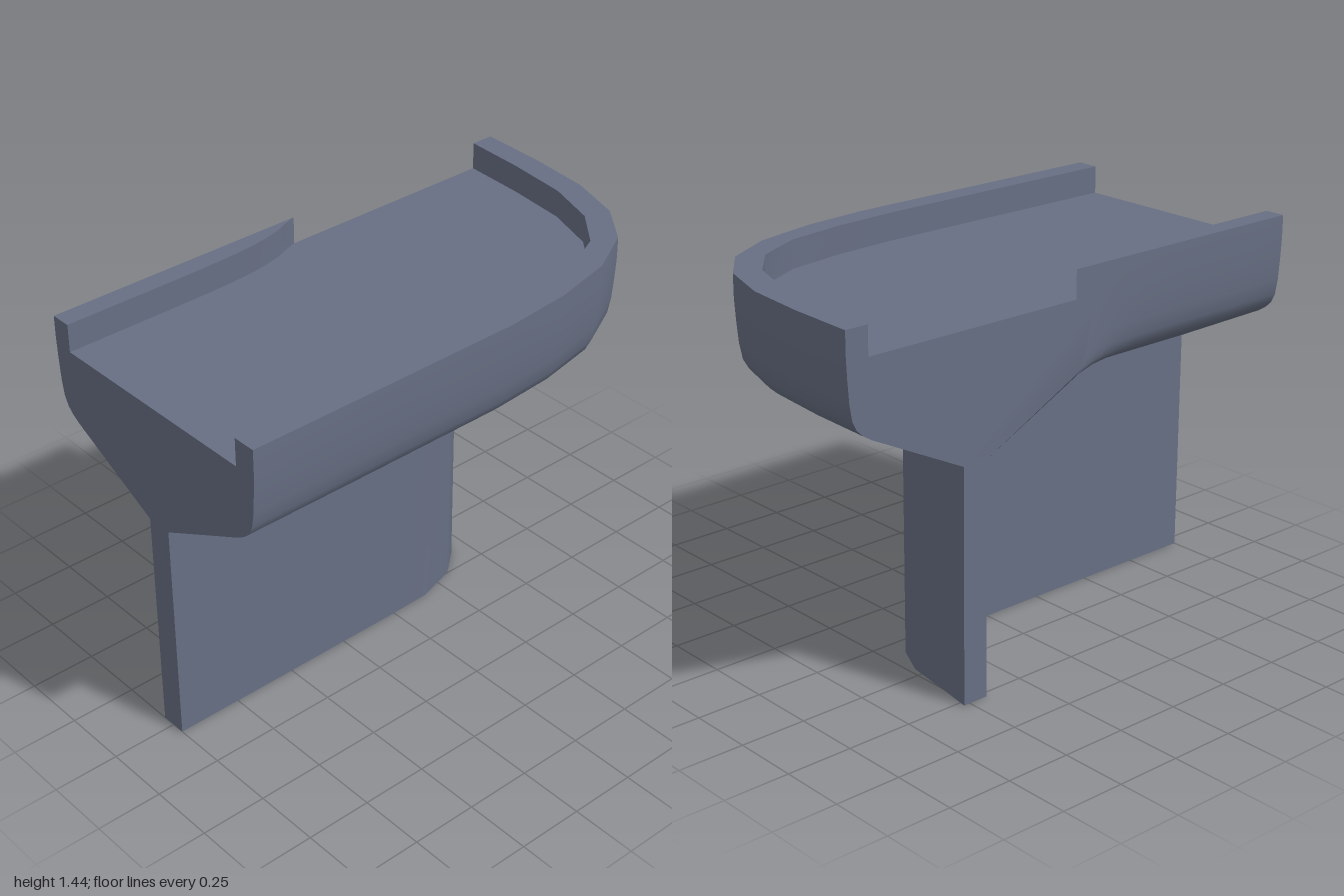
import * as THREE from 'three';
import { toCreasedNormals } from 'three/addons/utils/BufferGeometryUtils.js';

const HALF = 0.525;

// Cross-section (offset from the wall line, height), counter-clockwise
const side = [
  [0.05, 0], [0.05, 0.872], [0.43, 1.062], [0.463, 1.083], [0.488, 1.107], [0.505, 1.142],
  [0.515, 1.2], [0.521, 1.28], [HALF, 1.36], [HALF, 1.443],
];
const profile = [
  ...side,
  [0.437, 1.443], [0.437, 1.338], [-0.447, 1.338], [-0.447, 1.443],
  ...side.map(([d, y]) => [-d, y]).reverse(),
];

// Stations along the bend: outer x, outer z, z of the pinched inner edge, bulge of the middle
const stations = [
  [0.525, 1, 1, 0], [0.525, 0.45, 0.8, 0], [0.523, -0.1, 0.62, 0], [0.5, -0.36, 0.52, 0.09],
  [0.445, -0.6, 0.42, 0.28], [0.345, -0.785, 0.32, 0.36], [0.19, -0.905, 0.25, 0.38],
  [-0.02, -0.97, 0.18, 0.3], [-0.27, -0.993, 0.12, 0.12], [-HALF, -1, 0.05, 0],
];

// Places a cross-section point between the inner and outer edges of a station
function place([ox, oz, iz, bulge], [d, y]) {
  const f = (d + HALF) / (2 * HALF);
  const x = -HALF + (ox + HALF) * f + bulge * f * f * (1 - f);
  const z = iz + (oz - iz) * f - 0.8 * bulge * f * (1 - f) * (1 - f);
  return [x, y, z];
}

function sweepGeometry() {
  const pos = [];
  const tri = (a, b, c) => pos.push(...a, ...b, ...c);
  const rings = stations.map((s) => profile.map((p) => place(s, p)));

  // Skin between neighbouring stations
  for (let i = 0; i < rings.length - 1; i++) {
    const a = rings[i], b = rings[i + 1];
    for (let j = 0; j < profile.length; j++) {
      const k = (j + 1) % profile.length;
      tri(a[j], b[j], b[k]);
      tri(a[j], b[k], a[k]);
    }
  }

  // Flat end faces
  const first = rings[0], last = rings[rings.length - 1];
  const faces = THREE.ShapeUtils.triangulateShape(profile.map(([d, y]) => new THREE.Vector2(d, y)), []);
  for (const [a, b, c] of faces) {
    tri(first[a], first[b], first[c]);
    tri(last[c], last[b], last[a]);
  }

  const geometry = new THREE.BufferGeometry();
  geometry.setAttribute('position', new THREE.Float32BufferAttribute(pos, 3));
  return toCreasedNormals(geometry, 0.75);
}

export function createModel() {
  const group = new THREE.Group();
  group.name = 'curvedWallCorner';
  const wall = new THREE.Mesh(sweepGeometry(), new THREE.MeshStandardMaterial({ color: 0x676f83 }));
  wall.name = 'wallWithWalkway';
  group.add(wall);
  return group;
}
